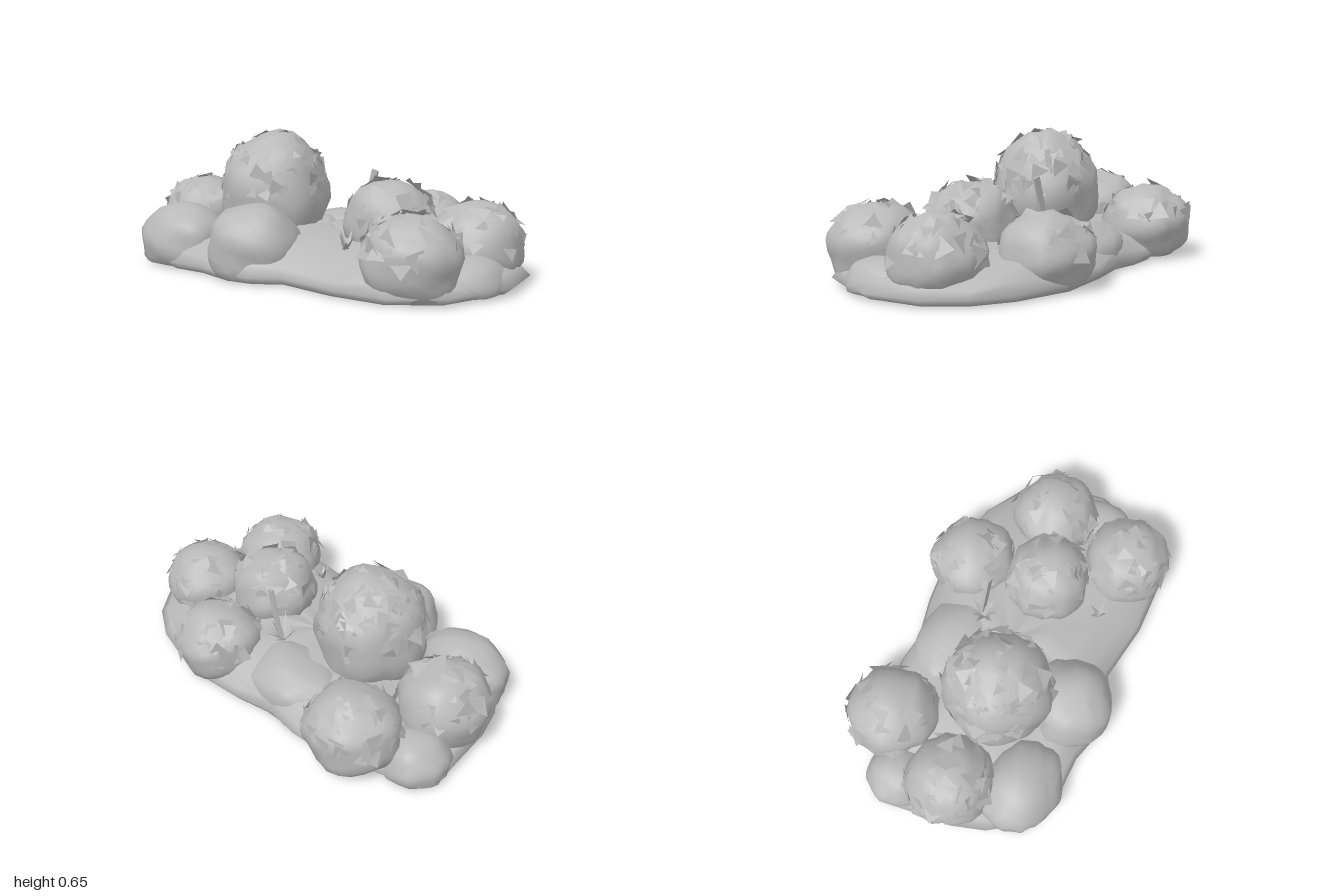
import * as THREE from 'three';
import { mergeVertices } from 'three/addons/utils/BufferGeometryUtils.js';

let seed = 7;
const rnd = () => {
  seed = (seed * 16807) % 2147483647;
  return seed / 2147483647;
};
const spread = (a) => (rnd() - 0.5) * 2 * a;

// Lumpy smooth ball with a full lower half, flattened at the ground
function clumpGeometry(x, y, z, rx, ry, rz, phase) {
  let g = new THREE.IcosahedronGeometry(1, 4);
  g.deleteAttribute('uv');
  g.deleteAttribute('normal');
  g = mergeVertices(g);
  const p = g.attributes.position;
  for (let i = 0; i < p.count; i++) {
    const [a, b, c] = [p.getX(i), p.getY(i), p.getZ(i)];
    const k = 0.985 + 0.04 * Math.sin(5 * a + phase) * Math.cos(4 * c - phase)
      + 0.03 * Math.sin(7 * b + 3 * c + phase * 2) + 0.025 * Math.sin(11 * a - 9 * c + phase);
    // Push the sides out below the middle so the ball sits into the mound
    const flare = b < 0 ? Math.pow(Math.max(1 - b * b, 0.001), -0.22) : 1;
    p.setXYZ(i, x + a * k * flare * rx, Math.max(0.02, y + b * k * ry), z + c * k * flare * rz);
  }
  g.computeVertexNormals();
  return g;
}

// Loose triangular leaves lying on a clump with their tips lifted
function leafGeometry(x, y, z, rx, ry, rz, count) {
  const pos = [];
  const centre = new THREE.Vector3(x, y, z);
  const radii = new THREE.Vector3(rx, ry, rz);
  for (let i = 0; i < count; i++) {
    const up = 0.05 + 0.93 * rnd();
    const t = rnd() * Math.PI * 2;
    const h = Math.sqrt(1 - up * up);
    const n = new THREE.Vector3(h * Math.cos(t), up, h * Math.sin(t));
    const base = n.clone().multiply(radii).multiplyScalar(0.97).add(centre);
    const side = new THREE.Vector3(spread(1), spread(1), spread(1)).cross(n).normalize();
    const along = n.clone().cross(side);
    const size = 0.04 + 0.04 * rnd();
    const tip = base.clone().addScaledVector(along, size).addScaledVector(n, 0.025 * rnd());
    const a = base.clone().addScaledVector(side, size * 0.75);
    const b = base.clone().addScaledVector(side, -size * 0.75);
    pos.push(...a.toArray(), ...b.toArray(), ...tip.toArray());
  }
  return triangles(pos);
}

function triangles(pos) {
  const g = new THREE.BufferGeometry();
  g.setAttribute('position', new THREE.Float32BufferAttribute(pos, 3));
  g.computeVertexNormals();
  return g;
}

// Tuft of thin blades fanning out from one point
function tuftGeometry(x, y, z, count, length, lean) {
  const pos = [];
  for (let i = 0; i < count; i++) {
    const t = (i / count) * Math.PI * 2 + spread(0.3);
    const r = length * lean * (0.5 + 0.5 * rnd());
    const h = length * (0.35 + 0.55 * rnd());
    const [c, s] = [Math.cos(t), Math.sin(t)];
    pos.push(x - s * 0.018, y, z + c * 0.018, x + s * 0.018, y, z - c * 0.018,
      x + c * r, y + h, z + s * r);
  }
  return triangles(pos);
}

// Low mound: rings scaled from an outline, closed underneath
function moundGeometry() {
  const outline = [[0.1, -0.99], [0.2, -0.95], [0.27, -0.8], [0.4, -0.5], [0.43, -0.35], [0.43, -0.2],
    [0.5, 0], [0.57, 0.3], [0.53, 0.6], [0.45, 0.78], [0.3, 0.93], [0.04, 1], [-0.12, 0.96],
    [-0.3, 0.91], [-0.46, 0.72], [-0.5, 0.45], [-0.49, 0.15], [-0.58, 0.03], [-0.61, -0.1],
    [-0.58, -0.3], [-0.6, -0.48], [-0.54, -0.7], [-0.4, -0.83], [-0.25, -0.9], [-0.05, -0.95]];
  const rings = [[0.01, 0.008], [0.5, 0.008], [0.96, 0.014], [1, 0.045], [0.96, 0.085],
    [0.84, 0.145], [0.62, 0.19], [0.3, 0.21], [0.01, 0.215]];
  const n = outline.length;
  const pos = [];
  const index = [];
  rings.forEach(([s, y], r) => outline.forEach(([x, z], i) => {
    const bump = r > 3 && r < 8 ? 0.015 * Math.sin(i * 2.1 + r) : 0;
    pos.push(x * s, y + bump, z * s);
    if (r === rings.length - 1) return;
    const a = r * n + i, b = r * n + (i + 1) % n;
    index.push(a, a + n, b, b, a + n, b + n);
  }));
  const g = new THREE.BufferGeometry();
  g.setAttribute('position', new THREE.Float32BufferAttribute(pos, 3));
  g.setIndex(index);
  g.computeVertexNormals();
  // Turn the faces outward if the bottom does not look down
  if (g.attributes.normal.getY(n) > 0) {
    g.setIndex(index.reverse());
    g.computeVertexNormals();
  }
  return g;
}

export function createModel() {
  const group = new THREE.Group();
  const foliage = new THREE.MeshStandardMaterial({ color: 0xb8b8b8, side: THREE.DoubleSide });
  foliage.name = 'foliage grey';
  const add = (name, geometry) => {
    const mesh = new THREE.Mesh(geometry, foliage);
    mesh.name = name;
    group.add(mesh);
  };

  add('groundMound', moundGeometry());

  // name, centre x y z, radii x y z, number of leaves
  const clumps = [
    ['tallBush', -0.105, 0.35, -0.27, 0.265, 0.295, 0.265, 130],
    ['backBush', -0.14, 0.2, -0.74, 0.215, 0.195, 0.215, 45],
    ['backLeftBush', 0.28, 0.19, -0.61, 0.22, 0.18, 0.225, 40],
    ['middleBush', 0.01, 0.26, 0.36, 0.21, 0.2, 0.215, 45],
    ['leftBush', 0.405, 0.17, 0.28, 0.21, 0.175, 0.22, 40],
    ['frontRightBush', -0.26, 0.18, 0.69, 0.215, 0.19, 0.225, 45],
    ['frontLeftBush', 0.185, 0.18, 0.715, 0.215, 0.19, 0.22, 45],
    ['rightLump', -0.41, 0.15, -0.1, 0.215, 0.2, 0.22, 0],
    ['backRightLump', -0.43, 0.12, -0.57, 0.19, 0.18, 0.235, 0],
    ['leftLump', 0.24, 0.08, -0.13, 0.2, 0.16, 0.28, 0],
    ['rearLump', 0.1, 0.06, -0.83, 0.16, 0.14, 0.16, 0],
    ['frontLump', -0.02, 0.06, 0.82, 0.22, 0.11, 0.16, 0],
  ];
  clumps.forEach(([name, x, y, z, rx, ry, rz, leaves], i) => {
    add(name, clumpGeometry(x, y, z, rx, ry, rz, i * 1.7));
    if (leaves) add(name + 'Leaves', leafGeometry(x, y, z, rx, ry, rz, leaves));
  });

  // Tufts in the gaps between the bushes
  add('bladeTuft', tuftGeometry(0.18, 0.2, 0.04, 16, 0.14, 0.7));
  add('sideTuft', tuftGeometry(-0.3, 0.17, 0.36, 8, 0.1, 0.6));
  add('frontTuft', tuftGeometry(-0.02, 0.18, 0.65, 8, 0.12, 0.5));

  // One tall upright blade
  const blade = new THREE.BoxGeometry(0.012, 0.26, 0.035);
  blade.rotateX(0.27);
  blade.translate(0.195, 0.335, 0.085);
  add('tallBlade', blade);
  return group;
}
